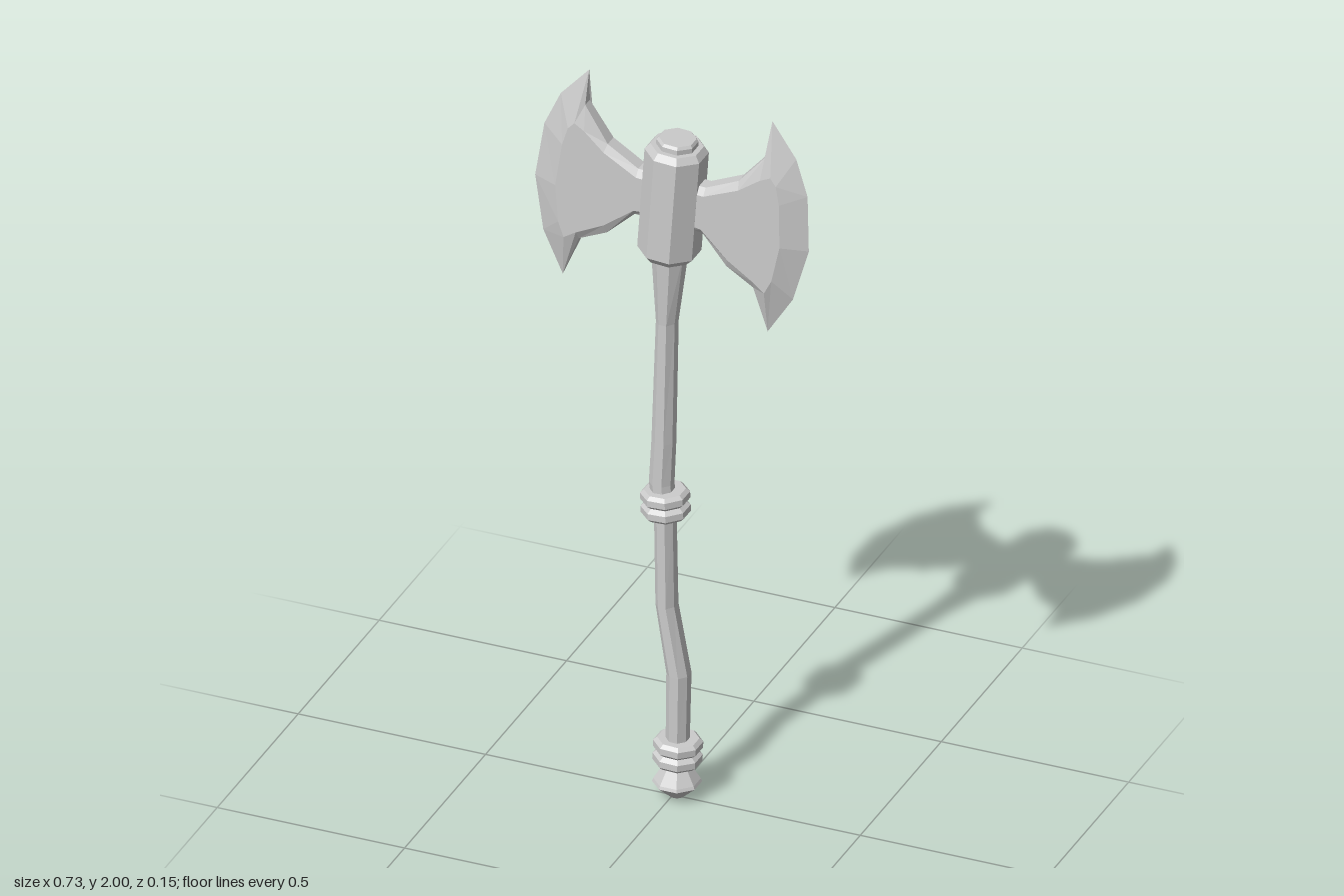
import * as THREE from 'three';

const SIDES = 8;
const steel = () => new THREE.MeshStandardMaterial({ color: 0xcccccc, flatShading: true });

// Eight-sided turned part; radii are measured to the flats, points run bottom to top
function turned(name, profile) {
  const k = 1 / Math.cos(Math.PI / SIDES);
  const pts = profile.map(([r, y]) => new THREE.Vector2(r * k, y));
  const mesh = new THREE.Mesh(new THREE.LatheGeometry(pts, SIDES, Math.PI / SIDES), steel());
  mesh.name = name;
  return mesh;
}

function fromTriangles(name, tris) {
  const geo = new THREE.BufferGeometry();
  geo.setAttribute('position', new THREE.Float32BufferAttribute(tris.flat(2), 3));
  geo.computeVertexNormals();
  const mesh = new THREE.Mesh(geo, steel());
  mesh.name = name;
  return mesh;
}

// Crooked shaft: octagonal sections [centre x, y, half width x, half width z]
function makeShaft() {
  const sections = [
    [0.013, 0.08, 0.027, 0.03], [0.013, 0.17, 0.027, 0.03], [0.016, 0.35, 0.028, 0.032],
    [-0.016, 0.54, 0.025, 0.032], [-0.02, 0.78, 0.025, 0.03], [-0.03, 0.88, 0.029, 0.03],
    [-0.024, 1.0, 0.028, 0.03], [-0.015, 1.34, 0.025, 0.031], [-0.008, 1.54, 0.043, 0.043],
  ];
  const k = 1 / Math.cos(Math.PI / SIDES);
  const point = ([cx, y, rx, rz], i) => {
    const a = ((i + 0.5) / SIDES) * Math.PI * 2;
    return [cx + Math.sin(a) * rx * k, y, Math.cos(a) * rz * k];
  };
  const tris = [];
  for (let s = 0; s < sections.length - 1; s++) {
    for (let i = 0; i < SIDES; i++) {
      const a = point(sections[s], i), b = point(sections[s], i + 1);
      const c = point(sections[s + 1], i + 1), d = point(sections[s + 1], i);
      tris.push([a, b, c], [a, c, d]);
    }
  }
  return fromTriangles('shaft', tris);
}

// Double ring around the shaft
function makeCollar(name, x, y, tilt) {
  const collar = turned(name, [
    [0.02, -0.036], [0.048, -0.036], [0.057, -0.027], [0.057, -0.01], [0.046, 0],
    [0.057, 0.01], [0.057, 0.027], [0.048, 0.036], [0.02, 0.036],
  ]);
  collar.position.set(x, y, 0);
  collar.rotation.z = tilt;
  return collar;
}

// Blade: each row is outline x, y, half thickness there, then the matching cheek corner x, y
function makeBlade(name) {
  const CHEEK = 0.03;
  const rows = [
    [0.05, -0.055, 0.018, 0.05, -0.035],
    [0.09, -0.055, 0.018, 0.09, -0.04],
    [0.16, -0.13, 0.018, 0.165, -0.105],
    [0.233, -0.17, 0.016, 0.237, -0.147],
    [0.274, -0.293, 0, 0.268, -0.17],
    [0.334, -0.183, 0, 0.285, -0.13],
    [0.366, -0.035, 0, 0.3, -0.03],
    [0.352, 0.118, 0, 0.29, 0.09],
    [0.315, 0.215, 0, 0.278, 0.14],
    [0.245, 0.304, 0, 0.262, 0.16],
    [0.243, 0.21, 0.014, 0.235, 0.145],
    [0.175, 0.12, 0.018, 0.18, 0.1],
    [0.09, 0.075, 0.018, 0.09, 0.055],
    [0.05, 0.075, 0.018, 0.05, 0.055],
  ];
  const rim = (r, s) => [r[0], r[1], r[2] * s];
  const cheek = (r, s) => [r[3], r[4], CHEEK * s];
  const tris = [];
  const quad = (a, b, c, d) => tris.push([a, b, c], [a, c, d]);
  // Flat cheeks on both faces
  const flat = rows.map((r) => new THREE.Vector2(r[3], r[4]));
  for (const [a, b, c] of THREE.ShapeUtils.triangulateShape(flat, [])) {
    tris.push([cheek(rows[a], 1), cheek(rows[b], 1), cheek(rows[c], 1)]);
    tris.push([cheek(rows[c], -1), cheek(rows[b], -1), cheek(rows[a], -1)]);
  }
  // Bevels and the back rim
  rows.forEach((r, i) => {
    const n = rows[(i + 1) % rows.length];
    quad(rim(r, 1), rim(n, 1), cheek(n, 1), cheek(r, 1));
    quad(cheek(r, -1), cheek(n, -1), rim(n, -1), rim(r, -1));
    if (r[2] + n[2] > 0) quad(rim(r, -1), rim(n, -1), rim(n, 1), rim(r, 1));
  });
  return fromTriangles(name, tris);
}

export function createModel() {
  const model = new THREE.Group();
  model.name = 'doubleAxe';

  model.add(makeShaft());
  model.add(makeCollar('middleCollar', -0.02, 0.825, 0.04));
  model.add(makeCollar('lowerCollar', 0.013, 0.13, -0.04));

  // Pommel
  const pommel = turned('pommel', [
    [0, 0], [0.016, 0.002], [0.057, 0.042], [0.054, 0.05], [0.028, 0.095],
  ]);
  pommel.position.x = 0.011;
  model.add(pommel);

  // Head: socket, end knob and two blades, leaning slightly
  const head = new THREE.Group();
  head.name = 'head';
  head.position.y = 1.68;
  head.rotation.z = -0.07;
  head.add(turned('socket', [
    [0, -0.155], [0.056, -0.155], [0.073, -0.135], [0.073, 0.145], [0.061, 0.162], [0, 0.162],
  ]));
  head.add(turned('endKnob', [[0.048, 0.15], [0.048, 0.175], [0.043, 0.182], [0, 0.182]]));
  const leftBlade = makeBlade('leftBlade');
  const rightBlade = makeBlade('rightBlade');
  rightBlade.rotation.y = Math.PI;
  head.add(leftBlade, rightBlade);
  model.add(head);

  return model;
}
